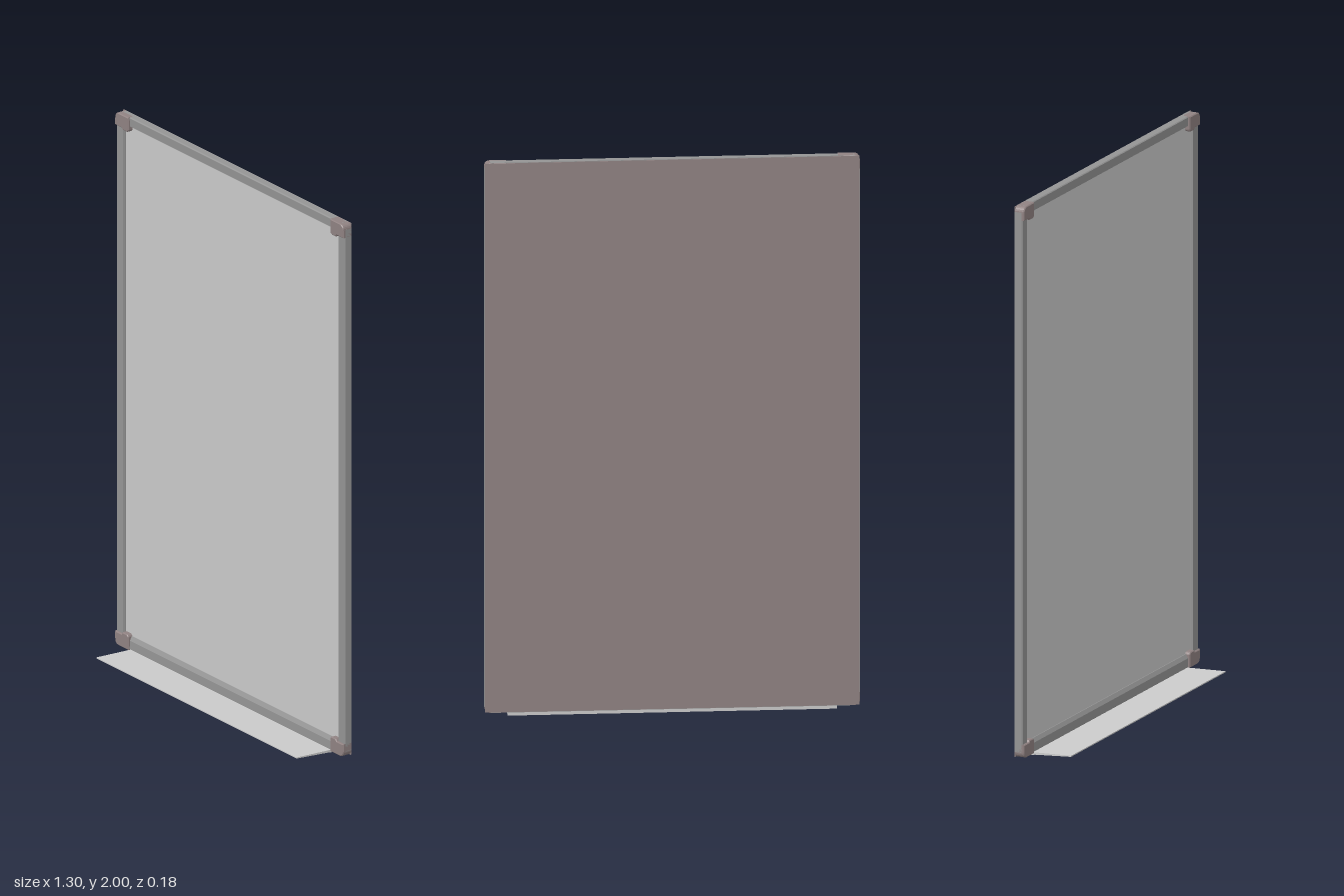
import * as THREE from 'three';

const W = 0.65, BOTTOM = 0.012, TOP = 2, BACK = -0.09;
const MID = (TOP + BOTTOM) / 2, H = TOP - BOTTOM;

export function createModel() {
  const model = new THREE.Group();
  const paint = (color) => new THREE.MeshStandardMaterial({ color, flatShading: true });
  const light = paint(0xcccccc), metal = paint(0x959595), plastic = paint(0x908282);

  const add = (name, geometry, material) => {
    const mesh = new THREE.Mesh(geometry, material);
    mesh.name = name;
    model.add(mesh);
    return mesh;
  };
  const polygon = (points) => new THREE.Shape(points.map(([x, y]) => new THREE.Vector2(x, y)));

  // Writing surface and backing board
  add('writingSurface', new THREE.BoxGeometry(2 * W - 0.06, H - 0.06, 0.016), light).position.set(0, MID, -0.078);
  add('backBoard', new THREE.BoxGeometry(2 * W - 0.004, H - 0.004, 0.004), plastic).position.set(0, MID, BACK + 0.002);

  // Frame rail: profile x runs inward from the outer edge, y runs from back to front
  const rail = (name, length, width, slope) => {
    const profile = polygon([
      [0, BACK + 0.002], [width + slope, BACK + 0.002], [width + slope, -0.067],
      [width, -0.059], [0.003, -0.058], [0, -0.061],
    ]);
    const geometry = new THREE.ExtrudeGeometry(profile, { depth: length, bevelEnabled: false });
    geometry.translate(0, 0, -length / 2);
    // lay the profile in the xz plane with the rail running along y
    geometry.rotateX(Math.PI / 2);
    geometry.scale(1, 1, 1);
    return add(name, geometry, metal);
  };
  const sideLength = H - 0.04, endLength = 2 * W - 0.04;
  const right = rail('rightRail', sideLength, 0.037, 0.003);
  right.position.set(-W, MID, 0);
  const left = rail('leftRail', sideLength, 0.037, 0.003);
  left.geometry.rotateZ(Math.PI).translate(W, MID, 0);
  const top = rail('topRail', endLength, 0.034, 0.003);
  top.geometry.rotateZ(-Math.PI / 2).translate(0, TOP, 0);
  const bottom = rail('bottomRail', endLength, 0.034, 0.014);
  bottom.geometry.rotateZ(Math.PI / 2).translate(0, BOTTOM, 0);

  // Rounded corner caps, drawn from the outer corner inward
  const cap = (sx, sy) => {
    const r = 0.022, b = 0.003;
    const shape = new THREE.Shape();
    shape.moveTo(r, b);
    shape.lineTo(0.073, b);
    shape.lineTo(0.073, 0.046);
    shape.quadraticCurveTo(0.071, 0.054, 0.062, 0.053);
    shape.lineTo(0.045, 0.053);
    shape.lineTo(0.040, 0.046);
    shape.lineTo(b, 0.046);
    shape.lineTo(b, r);
    shape.quadraticCurveTo(b, b, r, b);
    const geometry = new THREE.ExtrudeGeometry(shape, {
      depth: 0.033, bevelThickness: b, bevelSize: b, bevelSegments: 1, curveSegments: 6,
    });
    geometry.translate(0, 0, BACK + b);
    // turn the cap into its corner, mirroring with a reversed winding where needed
    geometry.scale(sx, sy, 1);
    if (sx * sy < 0) {
      const p = geometry.attributes.position, a = new THREE.Vector3(), c = new THREE.Vector3();
      for (let i = 0; i < p.count; i += 3) {
        a.fromBufferAttribute(p, i);
        c.fromBufferAttribute(p, i + 2);
        p.setXYZ(i, c.x, c.y, c.z);
        p.setXYZ(i + 2, a.x, a.y, a.z);
      }
      geometry.computeVertexNormals();
    }
    add((sy > 0 ? 'bottom' : 'top') + (sx > 0 ? 'Right' : 'Left') + 'CornerCap', geometry, plastic)
      .position.set(-sx * W, sy > 0 ? BOTTOM : TOP, 0);
  };
  for (const sx of [1, -1]) for (const sy of [1, -1]) cap(sx, sy);

  // Pen tray: a thin sheet tilting up to its front edge, with a foot under the rail
  const trayProfile = polygon([
    [-0.09, 0.018], [-0.09, 0.022], [0.058, 0.014], [0.085, 0.013], [0.085, 0], [0.05, 0.006],
  ]);
  const tray = new THREE.ExtrudeGeometry(trayProfile, { depth: 1.14, bevelEnabled: false });
  tray.translate(0, 0, -0.57).rotateY(Math.PI / 2);
  add('penTray', tray, light);

  return model;
}
